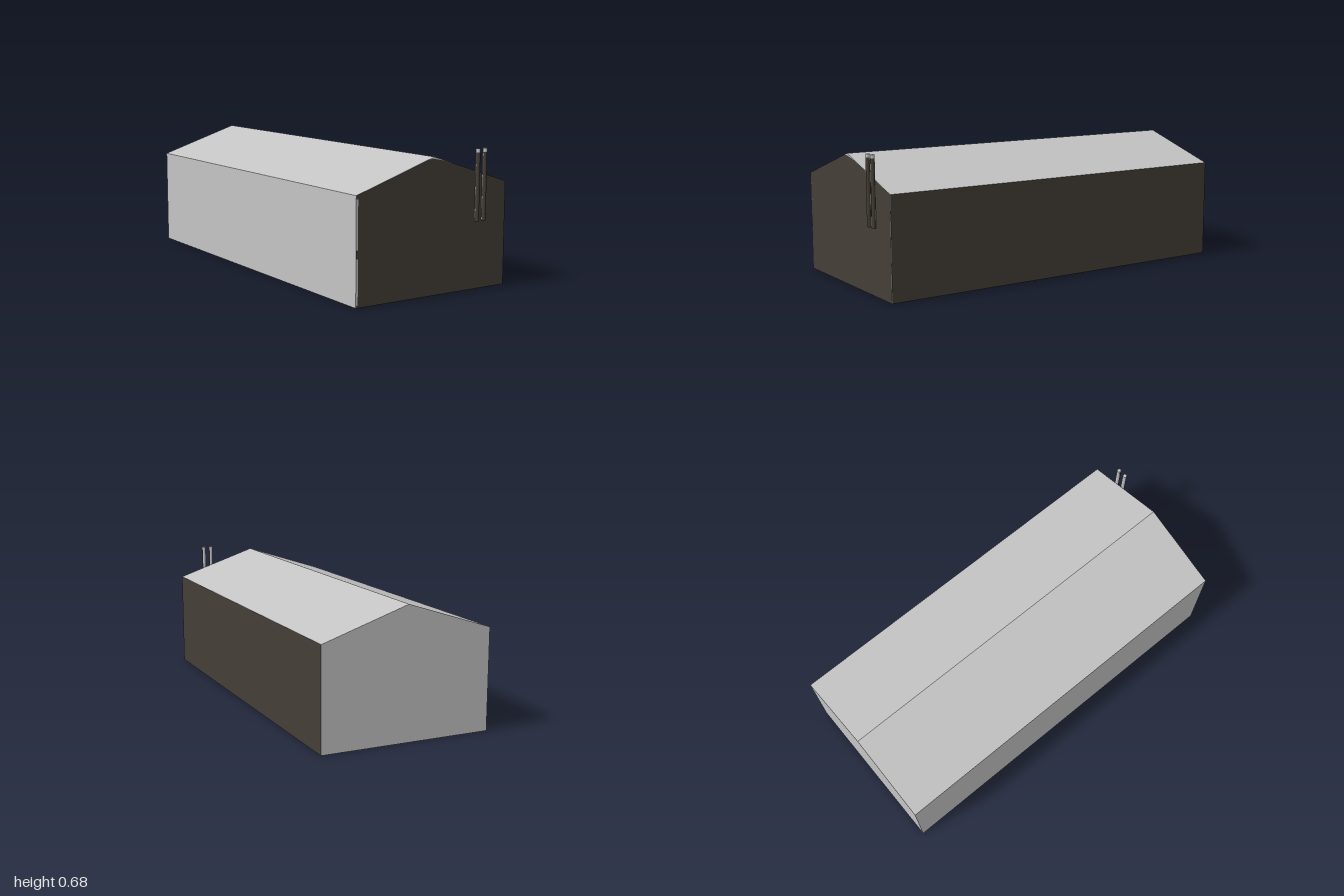
import * as THREE from 'three';

const HALF = 0.44, EAVE = 0.513, RIDGE = 0.658, BACK = -1, FRONT = 0.974;

export function createModel() {
  const model = new THREE.Group();
  const grey = new THREE.MeshStandardMaterial({ color: 0xc4c4c4 });
  grey.name = 'lightGrey';
  const dark = new THREE.MeshStandardMaterial({ color: 0x443e36 });
  dark.name = 'darkBrown';

  const add = (name, geometry, material, x = 0, y = 0, z = 0, parent = model) => {
    const mesh = new THREE.Mesh(geometry, material);
    mesh.name = name;
    mesh.position.set(x, y, z);
    parent.add(mesh);
    return mesh;
  };
  const outline = (points) => new THREE.Shape(points.map(([x, y]) => new THREE.Vector2(x, y)));

  // Gabled hall: one solid from back to front
  const gable = outline([[-HALF, 0], [HALF, 0], [HALF, EAVE], [0, RIDGE], [-HALF, EAVE]]);
  add('hall', new THREE.ExtrudeGeometry(gable, { depth: FRONT - BACK, bevelEnabled: false }), grey, 0, 0, BACK);

  // Dark front cladding, leaving a pale corner trim and a pale patch at the ridge
  const trim = -0.43;
  const cladding = outline([
    [-HALF, 0], [HALF, 0], [HALF, EAVE], [0.13, 0.615], [0.06, 0.636], [0, 0.648], [-0.03, 0.648],
    [-HALF, EAVE], [-HALF, 0.495], [trim, 0.495], [trim, 0.265], [-HALF, 0.265],
    [-HALF, 0.225], [trim, 0.225], [trim, 0.012], [-HALF, 0.012],
  ]);
  add('frontCladding', new THREE.ShapeGeometry(cladding), dark, 0, 0, FRONT + 0.0015);

  // Dark side wall
  const side = new THREE.PlaneGeometry(FRONT - BACK, EAVE).rotateY(Math.PI / 2);
  add('leftWallCladding', side, dark, HALF + 0.0015, EAVE / 2, (FRONT + BACK) / 2);

  // Two flue pipes: dark outer face, pale back and tip
  const radius = 0.0105, bottom = 0.335, tipStart = 0.665, top = 0.683;
  const shaft = tipStart - bottom, darkArc = Math.PI * 1.2;
  for (const [x, z] of [[0.251, 0.989], [0.295, 0.987]]) {
    const pipe = new THREE.Group();
    pipe.name = 'fluePipe';
    pipe.position.set(x, 0, z);
    model.add(pipe);
    const arc = (start, length) =>
      new THREE.CylinderGeometry(radius, radius, shaft, 12, 1, true, start, length);
    const middle = bottom + shaft / 2;
    add('pipeFront', arc(-Math.PI / 2, darkArc), dark, 0, middle, 0, pipe);
    add('pipeBack', arc(-Math.PI / 2 + darkArc, 2 * Math.PI - darkArc), grey, 0, middle, 0, pipe);
    add('pipeTip', new THREE.CylinderGeometry(radius, radius, top - tipStart, 16), grey, 0, (top + tipStart) / 2, 0, pipe);
    add('pipeBase', new THREE.CircleGeometry(radius, 16).rotateX(Math.PI / 2), grey, 0, bottom, 0, pipe);
  }
  return model;
}
